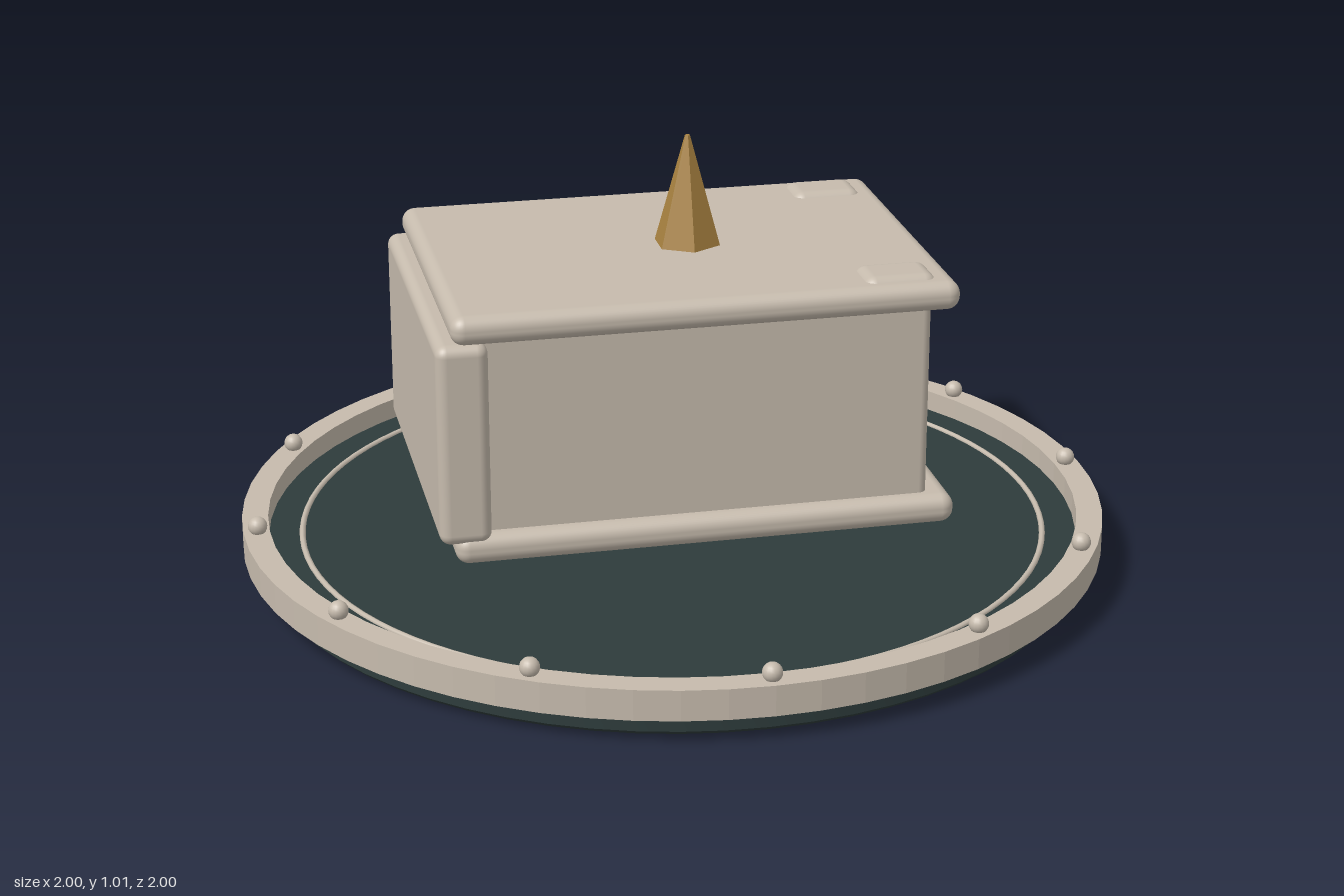
import * as THREE from 'three';
import { RoundedBoxGeometry } from 'three/addons/geometries/RoundedBoxGeometry.js';
import { toCreasedNormals } from 'three/addons/utils/BufferGeometryUtils.js';

export function createModel() {
  const model = new THREE.Group();
  model.name = 'boxOnRoundBase';

  const material = (name, color, flatShading = false) =>
    Object.assign(new THREE.MeshStandardMaterial({ color, flatShading }), { name });
  const stone = material('paleStone', 0xc6bbad);
  const slate = material('darkSlate', 0x2e3c3c);
  const brass = material('brass', 0xa88240, true);

  const add = (name, geometry, mat, x = 0, y = 0, z = 0) => {
    const mesh = new THREE.Mesh(geometry, mat);
    mesh.name = name;
    mesh.position.set(x, y, z);
    model.add(mesh);
    return mesh;
  };
  // Lathe with crisp edges from [radius, height] pairs, listed bottom to top on the outside
  const turned = (points, crease) => toCreasedNormals(
    new THREE.LatheGeometry(points.map(([r, y]) => new THREE.Vector2(r, y)), 64), crease);
  // Rounded box given by its extents along x and y, and its half depth
  const block = (name, x0, x1, y0, y1, halfZ, radius, z = 0) => add(name,
    new RoundedBoxGeometry(x1 - x0, y1 - y0, halfZ * 2, 4, radius), stone,
    (x0 + x1) / 2, (y0 + y1) / 2, z);

  // Round base with its raised rim and thin inlaid ring
  add('baseDisc', turned([[0, 0], [0.94, 0], [0.95, 0.01], [0.95, 0.08], [0, 0.08]], 0.5), slate);
  add('baseRim', turned([[0.94, 0.06], [1, 0.06], [1, 0.13], [0.94, 0.13], [0.94, 0.06]], 0.05), stone);
  add('inlayRing', new THREE.TorusGeometry(0.863, 0.007, 8, 96), stone, 0, 0.08).rotation.x = Math.PI / 2;

  // Twelve studs around the rim
  const stud = new THREE.SphereGeometry(0.022, 16, 12);
  for (let i = 0; i < 12; i++) {
    const a = (i * Math.PI) / 6;
    add('rimStud', stud, stone, 0.967 * Math.sin(a), 0.145, 0.967 * Math.cos(a));
  }

  // Box: body between two slabs, with a panel closing the left-hand end
  block('boxBody', -0.55, 0.507, 0.21, 0.73, 0.37, 0.02);
  block('bottomSlab', -0.567, 0.564, 0.182, 0.25, 0.407, 0.03);
  block('topSlab', -0.567, 0.564, 0.69, 0.756, 0.407, 0.03);
  block('endPanel', -0.602, -0.487, 0.232, 0.694, 0.407, 0.025);

  // Small pads on the top and the six-sided spike
  for (const side of [-1, 1]) block('topPad', 0.35, 0.52, 0.686, 0.767, 0.063, 0.03, side * 0.313);
  add('spike', new THREE.CylinderGeometry(0.006, 0.081, 0.265, 6), brass, 0.035, 0.877);

  return model;
}
